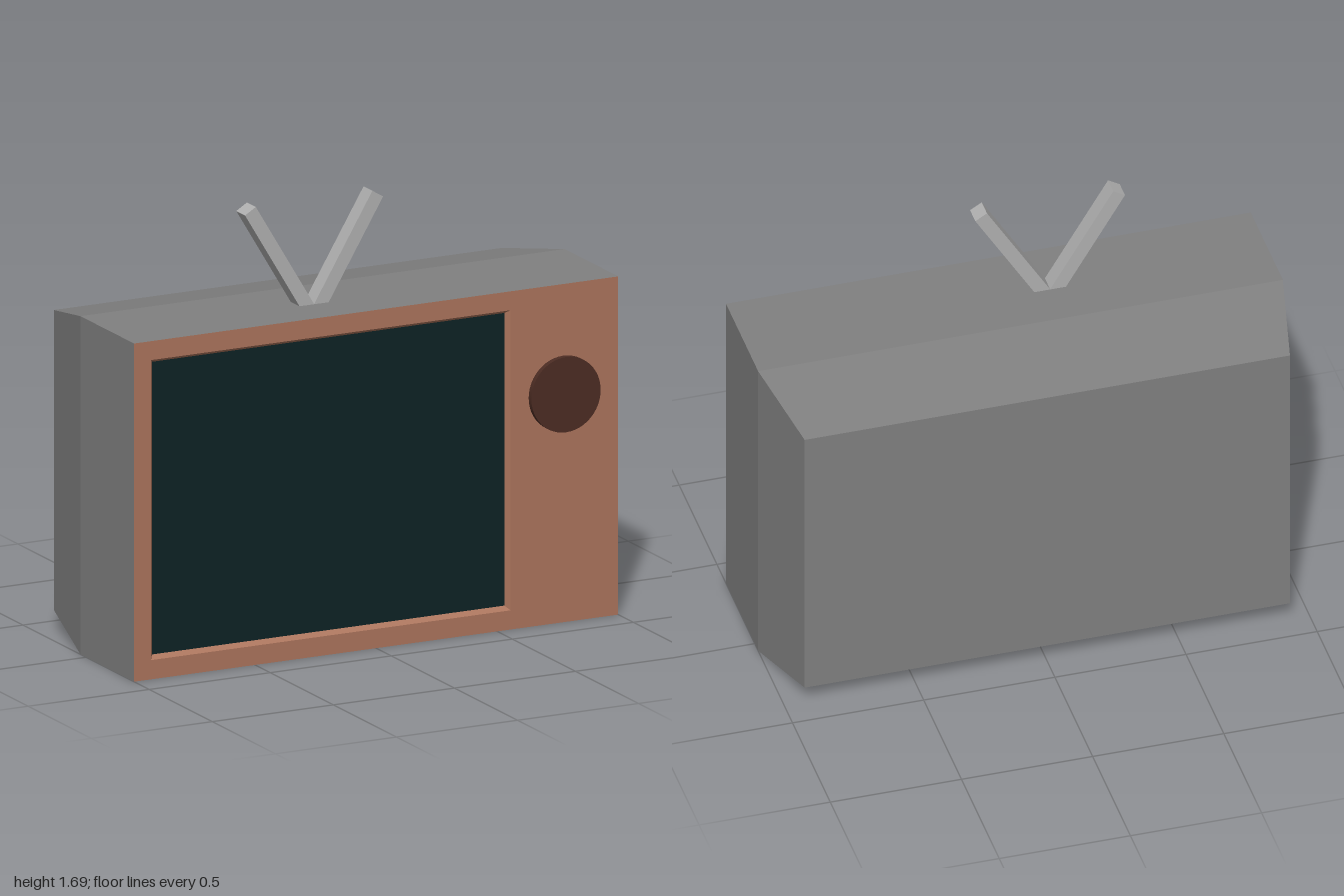
import * as THREE from 'three';

const flat = (name, color) => {
  const m = new THREE.MeshStandardMaterial({ color });
  m.name = name;
  return m;
};

// Corners of a rectangle at depth z, counter-clockwise from the front
const ring = (x0, x1, y0, y1, z) => [[x0, y0, z], [x1, y0, z], [x1, y1, z], [x0, y1, z]];

// Joins rectangular rings with flat quads; optionally closes the last ring
function loft(rings, cap = false) {
  const pos = [];
  const quad = (a, b, c, d) => pos.push(...a, ...b, ...c, ...a, ...c, ...d);
  for (let r = 0; r < rings.length - 1; r++) {
    const a = rings[r], b = rings[r + 1];
    for (let i = 0; i < 4; i++) {
      const j = (i + 1) % 4;
      quad(a[i], b[i], b[j], a[j]);
    }
  }
  if (cap) quad(...[...rings[rings.length - 1]].reverse());
  const g = new THREE.BufferGeometry();
  g.setAttribute('position', new THREE.Float32BufferAttribute(pos, 3));
  g.computeVertexNormals();
  return g;
}

export function createModel() {
  const group = new THREE.Group();
  group.name = 'television';
  const casing = flat('casing grey', 0x808080);
  const wood = flat('wood brown', 0xab745c);
  const glass = flat('screen dark teal', 0x0d2224);
  const knobBrown = flat('knob dark brown', 0x4c2c23);
  const metal = flat('antenna light grey', 0xb0b0b0);

  const add = (name, geometry, material) => {
    const mesh = new THREE.Mesh(geometry, material);
    mesh.name = name;
    group.add(mesh);
    return mesh;
  };

  const H = 1.285, Z = 0.38;

  // Casing: straight front half, tapered back, open where the front panel sits
  add('casing', loft([
    ring(-1, 1, 0, H, Z),
    ring(-1, 1, 0, H, -0.045),
    ring(-0.925, 0.925, 0.073, 1.212, -0.4),
  ], true), casing);

  // Front panel with the screen opening
  const outer = ring(-0.93, 0.555, 0.073, 1.213, Z);
  const inner = ring(-0.915, 0.54, 0.088, 1.2, Z - 0.02);
  const toPoints = (r) => r.map(([x, y]) => new THREE.Vector2(x, y));
  const panel = new THREE.Shape(toPoints(ring(-1, 1, 0, H, Z)));
  panel.holes.push(new THREE.Path(toPoints(outer).reverse()));
  add('frontPanel', new THREE.ShapeGeometry(panel), wood).position.z = Z;

  // Bevel sloping in to the recessed screen
  add('screenBevel', loft([inner, outer]), wood);
  add('screen', new THREE.ShapeGeometry(new THREE.Shape(toPoints(inner))), glass).position.z = Z - 0.02;

  // Tuning knob
  const knob = add('knob', new THREE.CylinderGeometry(0.143, 0.143, 0.03, 48), knobBrown);
  knob.rotation.x = Math.PI / 2;
  knob.position.set(0.773, 0.87, Z + 0.007);

  // Two antenna rods in a V, their feet sunk into the casing
  const tilt = 0.542, length = 0.5;
  for (const side of [-1, 1]) {
    const rod = add(side < 0 ? 'rightAntenna' : 'leftAntenna',
      new THREE.BoxGeometry(0.052, length, 0.07), metal);
    rod.rotation.z = -side * tilt;
    rod.position.set(
      -0.165 + side * (0.263 - Math.sin(tilt) * length / 2),
      1.672 - Math.cos(tilt) * length / 2,
      0.17,
    );
  }
  return group;
}
